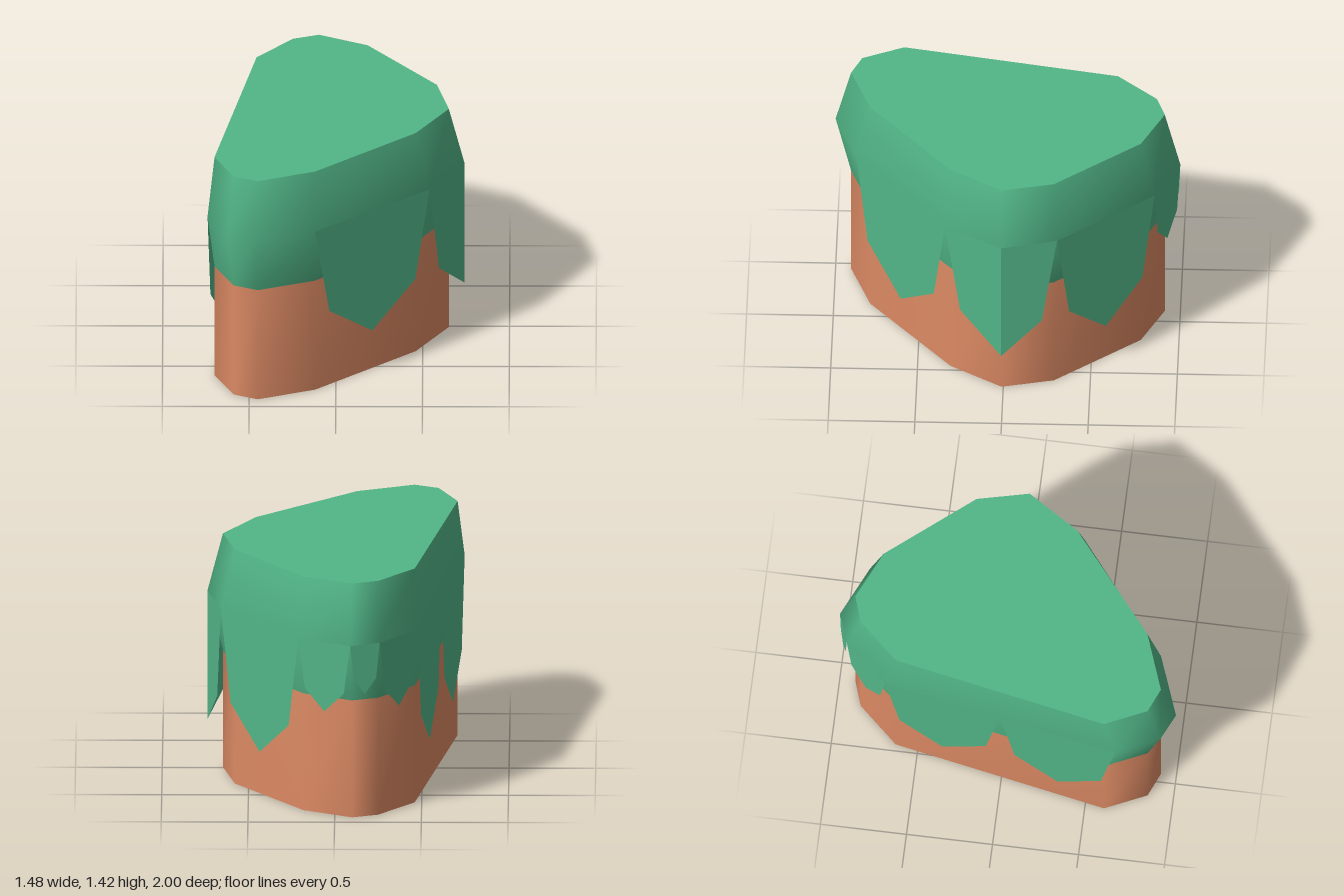
import * as THREE from 'three';

// Footprint corners, clockwise from above: x, z at the bulge, then x, z at the narrow rings
const CORNERS = [
  [-0.09, -1.0, -0.10, -0.91], [0.21, -0.86, 0.18, -0.78], [0.66, -0.31, 0.58, -0.29],
  [0.74, 0.01, 0.65, 0.01], [0.54, 0.34, 0.46, 0.31], [-0.12, 0.87, -0.12, 0.79],
  [-0.47, 1.0, -0.45, 0.91], [-0.62, 0.93, -0.59, 0.85], [-0.74, 0.68, -0.70, 0.61],
  [-0.48, -0.69, -0.46, -0.63], [-0.26, -0.94, -0.25, -0.86],
];
const outer = CORNERS.map(c => [c[0], c[1]]);
const inner = CORNERS.map(c => [c[2], c[3]]);
const MID = 1.07, TOP = 1.42, SEAM = 0.71;

// Smooth wall through a stack of rings, each given as [outline, height]
function wall(rings) {
  const pos = [], idx = [], n = CORNERS.length;
  rings.forEach(([outline, y]) => outline.forEach(([x, z]) => pos.push(x, y, z)));
  for (let r = 0; r < rings.length - 1; r++) {
    for (let i = 0; i < n; i++) {
      const a = r * n + i, b = r * n + (i + 1) % n;
      idx.push(b, a, a + n, b, a + n, b + n);
    }
  }
  const g = new THREE.BufferGeometry();
  g.setAttribute('position', new THREE.Float32BufferAttribute(pos, 3));
  g.setIndex(idx);
  g.computeVertexNormals();
  return g;
}

// Flat cap over the narrow outline, facing up (dir 1) or down (dir -1)
function cap(y, dir) {
  const shape = new THREE.Shape(inner.map(([x, z]) => new THREE.Vector2(x, -dir * z)));
  return new THREE.ShapeGeometry(shape).rotateX(-dir * Math.PI / 2).translate(0, y, 0);
}

// Flat sheet hanging from the line p to q; profile points are [t along line, y]
function sheet(p, q, profile) {
  const len = Math.hypot(q[0] - p[0], q[1] - p[1]);
  const shape = new THREE.Shape(profile.map(([t, y]) => new THREE.Vector2(t * len, y)));
  const g = new THREE.ShapeGeometry(shape);
  g.rotateY(Math.atan2(-(q[1] - p[1]), q[0] - p[0]));
  return g.translate(p[0], 0, p[1]);
}

export function createModel() {
  const model = new THREE.Group();
  const dirt = new THREE.MeshStandardMaterial({ color: 0xdc8a64 });
  dirt.name = 'dirt';
  const grass = new THREE.MeshStandardMaterial({ color: 0x52b688, side: THREE.DoubleSide });
  grass.name = 'grass';

  const add = (name, geometry, material) => {
    const mesh = new THREE.Mesh(geometry, material);
    mesh.name = name;
    model.add(mesh);
  };

  // Earth block
  add('earthWall', wall([[inner, 0], [inner, SEAM]]), dirt);
  add('earthBottom', cap(0, -1), dirt);

  // Bulging turf
  add('turfWall', wall([[inner, SEAM], [outer, MID], [inner, TOP]]), grass);
  add('turfTop', cap(TOP, 1), grass);

  // Pointed grass flaps. Lines run right to left seen from outside, so q comes first
  const flap = (p, q, shoulder, tip) => add('grassFlap',
    sheet(q, p, [[0, MID], [0.125, shoulder], [0.5, tip], [0.875, shoulder], [1, MID]]), grass);
  const o = outer;
  const half = [(o[8][0] + o[9][0]) / 2, (o[8][1] + o[9][1]) / 2];
  flap(o[4], o[5], 0.52, 0.29);
  flap(o[1], o[2], 0.52, 0.29);
  flap(o[8], half, 0.52, 0.29);
  flap(half, o[9], 0.52, 0.29);
  flap(o[0], o[1], 0.775, 0.65);
  flap(o[9], o[10], 0.775, 0.65);
  flap(o[10], o[0], 0.86, 0.77);

  // Flap folded around the side corner
  add('foldedFlapFront', sheet(o[4], o[3], [[0, MID], [0.27, 0.51], [1, 0.29], [1, MID]]), grass);
  add('foldedFlapBack', sheet(o[3], o[2], [[0, MID], [0, 0.29], [0.73, 0.51], [1, MID]]), grass);

  return model;
}
